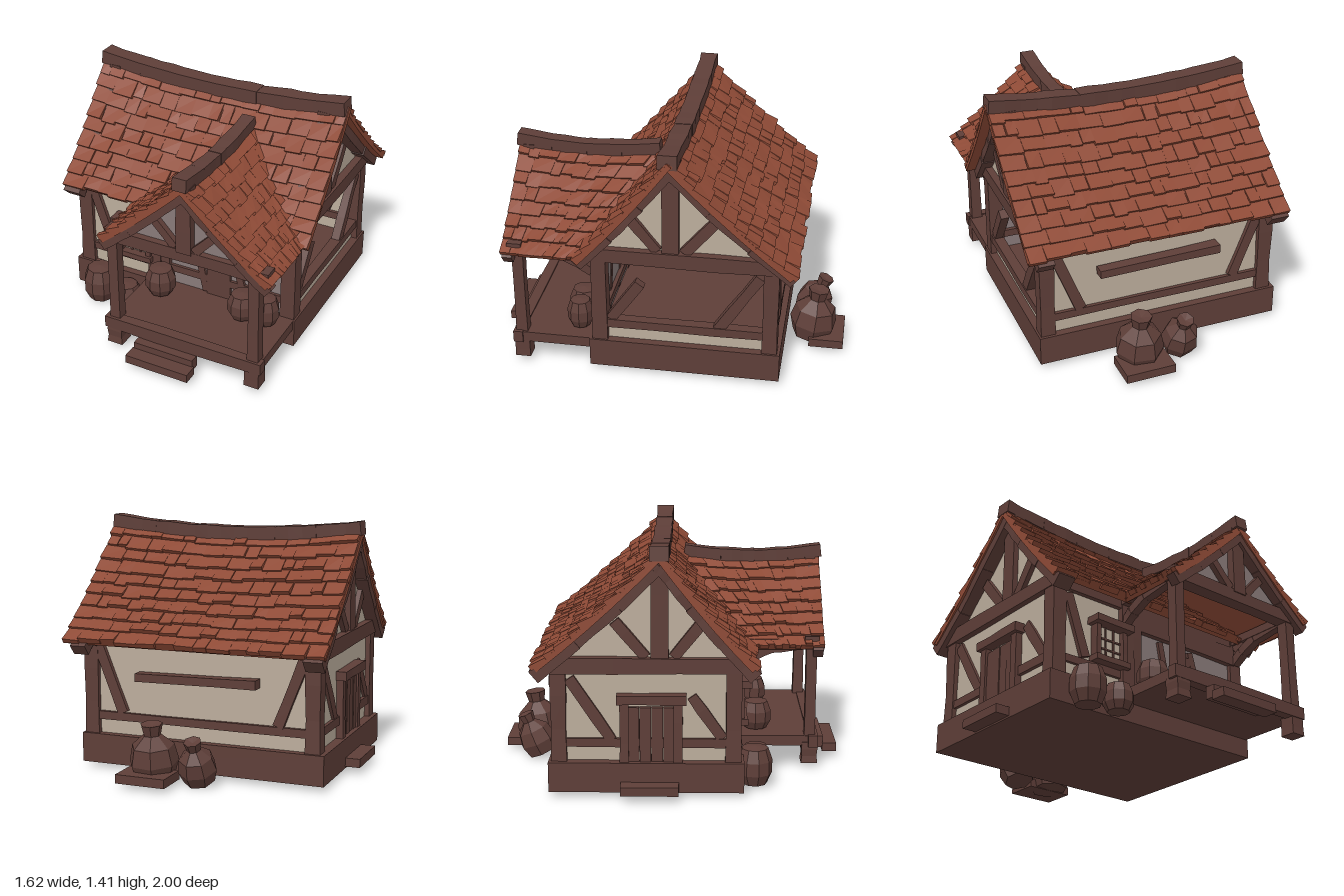
import * as THREE from 'three';
import { mergeGeometries } from 'three/addons/utils/BufferGeometryUtils.js';

const mat = (name, color, extra = {}) => Object.assign(new THREE.MeshStandardMaterial({ color, flatShading: true, ...extra }), { name });

export function createModel() {
  const house = new THREE.Group();
  house.name = 'timberHouse';
  const tile = mat('roofTile', 0x8e4a36);
  const wood = mat('timber', 0x5e3e38);
  const plaster = mat('plaster', 0xbcad9c, { side: THREE.DoubleSide });
  const greyPlaster = mat('greyPlaster', 0x887a79, { side: THREE.DoubleSide });

  let seed = 7;
  const rnd = (s = 1) => {
    seed = (seed * 16807) % 2147483647;
    return (seed / 2147483647 - 0.5) * 2 * s;
  };
  const V = (x, y, z) => new THREE.Vector3(x, y, z);
  const lerp = THREE.MathUtils.lerp;

  function add(name, geo, material) {
    const m = new THREE.Mesh(geo, material);
    m.name = name;
    house.add(m);
    return m;
  }
  // axis-aligned box given by its limits
  function block(name, x0, x1, y0, y1, z0, z1, material = wood) {
    const m = add(name, new THREE.BoxGeometry(x1 - x0, y1 - y0, z1 - z0), material);
    m.position.set((x0 + x1) / 2, (y0 + y1) / 2, (z0 + z1) / 2);
    return m;
  }
  // hewn timber from a to b, w wide across and d deep along the given normal
  function beam(name, a, b, w, d, normal = V(0, 0, 1)) {
    const dir = b.clone().sub(a), len = dir.length();
    dir.normalize();
    const side = dir.clone().cross(normal).normalize();
    const geo = new THREE.BoxGeometry(w, len, d, 1, 3, 1), p = geo.attributes.position;
    const bulge = [0, 1, 2, 3].map(() => 1 + rnd(0.08));
    for (let i = 0; i < p.count; i++) {
      const k = bulge[Math.round((p.getY(i) / len + 0.5) * 3)];
      p.setXYZ(i, p.getX(i) * k, p.getY(i), p.getZ(i) * k);
    }
    geo.applyMatrix4(new THREE.Matrix4().makeBasis(side, dir, side.clone().cross(dir)));
    geo.translate((a.x + b.x) / 2, (a.y + b.y) / 2, (a.z + b.z) / 2);
    return add(name, geo, wood);
  }
  function chain(name, pts, w, d, normal) {
    for (let i = 1; i < pts.length; i++) beam(name, pts[i - 1], pts[i], w, d, normal);
  }

  // bend a unit box onto a roof surface: x runs along it, z down it, y outwards
  function wrap(geo, pt, u0, u1, v0, v1, lift) {
    const p = geo.attributes.position, e = 0.01;
    for (let i = 0; i < p.count; i++) {
      const s = p.getX(i) + 0.5, t = p.getZ(i) + 0.5;
      const u = lerp(u0, u1, s), v = lerp(v0, v1, t), o = pt(u, v);
      const n = pt(u, v + e).sub(o).cross(pt(u + e, v).sub(o)).normalize();
      o.addScaledVector(n, lift(p.getY(i) + 0.5, t, s));
      p.setXYZ(i, o.x, o.y, o.z);
    }
    return geo;
  }
  function roofSide(name, pt, rows, cols) {
    const parts = [wrap(new THREE.BoxGeometry(1, 1, 1, 12, 1, 5), pt, 0, 1, 0, 1, (y) => (y - 1) * 0.03)];
    for (let r = 0; r < rows; r++) {
      let u = 0;
      while (u < 1) {
        let u1 = u + (1 + rnd(0.4)) / cols;
        if (u1 > 1 - 0.4 / cols) u1 = 1;
        const v1 = (r + 1.1 + rnd(0.14)) / rows, high = 0.024 + rnd(0.008), skew = rnd(0.008);
        parts.push(wrap(new THREE.BoxGeometry(1, 1, 1), pt, u + rnd(0.003), u1 + rnd(0.003), r / rows, Math.min(v1, 1.02),
          (y, t, s) => (y < 0.5 ? -0.008 : lerp(0.004, high + skew * (s - 0.5), t))));
        u = u1;
      }
    }
    const geo = mergeGeometries(parts);
    geo.computeVertexNormals();
    add(name, geo, tile);
  }

  // main roof: sagging ridge along x
  const ridgeZ = -0.045;
  const mainPt = (x, v, eaveZ) => V(x, lerp(1.305 + 0.05 * (x / 0.77) ** 2, 0.735, v) - 0.08 * v * (1 - v), lerp(ridgeZ, eaveZ, v));
  roofSide('mainRoofFront', (u, v) => mainPt(lerp(-0.76, 0.79, u), v, 0.475), 9, 15);
  roofSide('mainRoofBack', (u, v) => mainPt(lerp(0.78, -0.76, u), v, -0.725), 10, 15);
  chain('mainRidgeCap', [-0.76, -0.5, -0.25, 0, 0.25, 0.5, 0.78].map((x) => V(x, 1.31 + 0.05 * (x / 0.77) ** 2, ridgeZ)), 0.075, 0.1);

  // porch roof: ridge along z, cut back along the valleys
  const porchX = 0.245;
  const porchPt = (z, v, eaveX) => V(lerp(porchX, eaveX, v), lerp(1.16 + 0.03 * ((z - 0.48) / 0.42) ** 2, 0.735, v) - 0.05 * v * (1 - v), z);
  const valley = (v) => lerp(0.06, 0.46, v);
  roofSide('porchRoofLeft', (u, v) => porchPt(lerp(0.89, valley(v), u), v, 0.755), 8, 9);
  roofSide('porchRoofRight', (u, v) => porchPt(lerp(valley(v), 0.89, u), v, -0.265), 8, 9);
  chain('porchRidgeCap', [0.08, 0.3, 0.5, 0.7, 0.9].map((z) => V(porchX, 1.175 + 0.035 * ((z - 0.48) / 0.42) ** 2, z)), 0.08, 0.07, V(0, 1, 0));

  // foundation, floor and corner posts
  block('foundation', -0.74, 0.71, 0.02, 0.19, -0.66, 0.42);
  const X = V(1, 0, 0);
  for (const x of [-0.67, 0.655]) {
    for (const z of [0.36, -0.6]) beam('cornerPost', V(x, 0.18, z), V(x, 0.76, z), 0.085, 0.085);
  }
  // front and back rails
  for (const z of [0.37, -0.61]) {
    beam('wallPlate', V(-0.7, 0.735, z), V(0.69, 0.735, z), 0.07, 0.07);
    beam('lowerRail', V(-0.7, 0.295, z), V(0.69, 0.295, z), 0.045, 0.05);
  }

  // side walls and gables, mirrored
  for (const s of [-1, 1]) {
    const x = s < 0 ? -0.675 : 0.66;
    const P = (z, y) => V(x, y, z);
    beam('sideTieBeam', P(0.41, 0.735), P(-0.65, 0.735), 0.085, 0.09, X);
    beam('sideLowerRail', P(0.4, 0.295), P(-0.62, 0.295), 0.05, 0.06, X);
    beam('sideBrace', P(0.3, 0.32), P(0.13, 0.56), 0.06, 0.05, X);
    beam('sideBrace', P(-0.54, 0.66), P(-0.31, 0.31), 0.06, 0.05, X);
    beam('kingPost', P(ridgeZ, 0.74), P(ridgeZ, 1.32), 0.1, 0.07, X);
    beam('gableBrace', P(0.03, 0.78), P(0.19, 0.98), 0.06, 0.055, X);
    beam('gableBrace', P(-0.12, 0.78), P(-0.29, 0.98), 0.06, 0.055, X);
    // rafters follow the roof curve
    for (const eave of [0.475, -0.725]) {
      chain('gableRafter', [0, 0.33, 0.66, 1].map((v) => mainPt(x + s * 0.025, v, eave).add(V(0, -0.055, 0))), 0.075, 0.1, X);
    }
    const tri = new THREE.Shape([[-0.39, 0.75], [0.62, 0.75], [0.06, 1.28], [0.03, 1.28]].map(([a, b]) => new THREE.Vector2(a, b)));
    const g = add('gablePlaster', new THREE.ShapeGeometry(tri), plaster);
    g.rotation.y = Math.PI / 2;
    g.position.x = x;
  }

  // plaster walls; the model's left wall stays an open frame
  block('leftLowPlaster', 0.655, 0.663, 0.18, 0.28, -0.6, 0.36, plaster);
  block('rightPlaster', -0.684, -0.676, 0.18, 0.75, -0.6, 0.36, plaster);
  block('backPlaster', -0.67, 0.66, 0.18, 0.75, -0.614, -0.606, plaster);
  block('frontPlaster', -0.67, -0.2, 0.18, 0.75, 0.37, 0.378, plaster);
  block('porchPlaster', -0.2, 0.66, 0.18, 0.75, 0.37, 0.378, greyPlaster);

  // back wall braces and long shelf
  beam('backBrace', V(-0.62, 0.7, -0.615), V(-0.47, 0.32, -0.615), 0.06, 0.05);
  beam('backBrace', V(0.61, 0.7, -0.615), V(0.46, 0.32, -0.615), 0.06, 0.05);
  beam('backShelf', V(-0.36, 0.55, -0.655), V(0.36, 0.54, -0.655), 0.05, 0.07);

  // front wall brace, window with bars and hood
  beam('frontBrace', V(-0.61, 0.68, 0.38), V(-0.49, 0.33, 0.38), 0.06, 0.045);
  beam('frontPost', V(-0.2, 0.19, 0.38), V(-0.2, 0.75, 0.38), 0.08, 0.07);
  block('windowPane', -0.41, -0.24, 0.35, 0.54, 0.392, 0.4, plaster);
  for (const x of [-0.42, -0.235]) beam('windowJamb', V(x, 0.33, 0.4), V(x, 0.55, 0.4), 0.03, 0.06);
  beam('windowSill', V(-0.45, 0.335, 0.41), V(-0.21, 0.335, 0.41), 0.035, 0.08);
  beam('windowHood', V(-0.46, 0.56, 0.42), V(-0.2, 0.555, 0.42), 0.04, 0.1);
  for (const x of [-0.355, -0.3]) beam('windowBar', V(x, 0.35, 0.402), V(x, 0.54, 0.402), 0.01, 0.012);
  for (const y of [0.41, 0.47]) beam('windowBar', V(-0.41, y, 0.402), V(-0.24, y, 0.402), 0.01, 0.012);

  // porch door, braces and lintel
  block('porchDoor', 0.14, 0.29, 0.19, 0.54, 0.375, 0.395);
  beam('porchLintel', V(-0.16, 0.65, 0.385), V(0.64, 0.65, 0.385), 0.11, 0.05);
  beam('porchWallPost', V(-0.13, 0.19, 0.385), V(-0.13, 0.72, 0.385), 0.06, 0.05);
  beam('porchWallBrace', V(0.06, 0.58, 0.38), V(0.13, 0.2, 0.38), 0.04, 0.03);
  beam('porchWallBrace', V(0.29, 0.58, 0.38), V(0.39, 0.2, 0.38), 0.04, 0.03);

  // side door with lintel, planks and step
  for (let i = 0; i < 4; i++) block('sideDoorPlank', -0.71 - 0.004 * (i % 2), -0.68, 0.19, 0.5, -0.22 + i * 0.065, -0.158 + i * 0.065);
  for (const z of [-0.24, 0.055]) beam('sideDoorJamb', V(-0.695, 0.18, z), V(-0.695, 0.54, z), 0.05, 0.06, X);
  beam('sideDoorLintel', V(-0.705, 0.55, -0.28), V(-0.705, 0.55, 0.1), 0.05, 0.08, X);
  block('sideStep', -0.825, -0.73, 0.03, 0.08, -0.26, 0.06);

  // porch deck, posts, header and steps
  block('porchDeck', -0.25, 0.7, 0.13, 0.19, 0.4, 0.85);
  beam('deckEdge', V(-0.27, 0.16, 0.84), V(0.71, 0.16, 0.84), 0.075, 0.06);
  for (const x of [-0.21, 0.655]) {
    beam('porchFoot', V(x, 0.025, 0.82), V(x, 0.15, 0.82), 0.09, 0.09);
    beam('porchPost', V(x, 0.17, 0.82), V(x, 0.74, 0.82), 0.065, 0.065);
    beam('porchSidePlate', V(x, 0.745, 0.4), V(x, 0.745, 0.86), 0.05, 0.06, X);
    chain('porchCurvedBrace', [[0.4, 0.61], [0.47, 0.66], [0.58, 0.71], [0.78, 0.735]].map(([z, y]) => V(x, y, z)), 0.05, 0.05, X);
  }
  beam('porchHeader', V(-0.25, 0.75, 0.82), V(0.74, 0.75, 0.82), 0.075, 0.08);
  block('upperStep', -0.05, 0.32, 0.05, 0.12, 0.86, 0.92);
  block('lowerStep', -0.06, 0.33, 0.03, 0.08, 0.915, 1.0);

  // porch gable
  const gable = new THREE.Shape([[-0.2, 0.76], [0.69, 0.76], [porchX, 1.14]].map(([a, b]) => new THREE.Vector2(a, b)));
  add('porchGablePlaster', new THREE.ShapeGeometry(gable), greyPlaster).position.z = 0.82;
  beam('porchKingPost', V(porchX, 0.77, 0.835), V(porchX, 1.18, 0.835), 0.09, 0.06);
  for (const s of [-1, 1]) {
    const at = (dx, y) => V(porchX + s * dx, y, 0.83);
    beam('porchGableBrace', at(0.06, 0.79), at(0.21, 0.95), 0.05, 0.05);
    chain('porchRafter', [0, 0.33, 0.66, 1].map((v) => porchPt(0.855, v, s > 0 ? 0.75 : -0.26).add(V(0, -0.045, 0))), 0.07, 0.06);
  }

  // faceted barrels and sacks from a profile of [radius, height]
  function pot(name, profile, x, y, z, sides = 8, tilt = 0) {
    const geo = new THREE.LatheGeometry(profile.map(([r, h]) => new THREE.Vector2(r, h)), sides, x * 9);
    const m = add(name, geo, wood);
    m.position.set(x, y, z);
    m.rotation.x = tilt;
  }
  const barrel = (x, y, z, r, h) => pot('barrel', [[0, 0], [r * 0.72, 0.01], [r, h * 0.32], [r, h * 0.65], [r * 0.76, h * 0.95], [0, h]], x, y, z, 9);
  barrel(-0.54, 0, 0.485, 0.1, 0.23);
  barrel(-0.345, 0.005, 0.5, 0.085, 0.17);
  barrel(-0.105, 0.19, 0.51, 0.09, 0.18);
  barrel(0.425, 0.19, 0.51, 0.085, 0.17);
  barrel(0.57, 0.19, 0.5, 0.075, 0.18);

  // sacks behind the house
  const sack = [[0, 0], [0.8, 0.02], [1, 0.3], [0.85, 0.6], [0.35, 0.8], [0.45, 1], [0, 0.96]];
  const sized = (r, h) => sack.map(([a, b]) => [a * r, b * h]);
  pot('tallSack', sized(0.14, 0.31), 0.185, 0.02, -0.805, 7, -0.12);
  pot('smallSack', sized(0.11, 0.26), -0.07, 0.02, -0.77, 7, -0.4);
  block('flatSack', 0.04, 0.33, 0.02, 0.07, -1.0, -0.8);

  return house;
}
